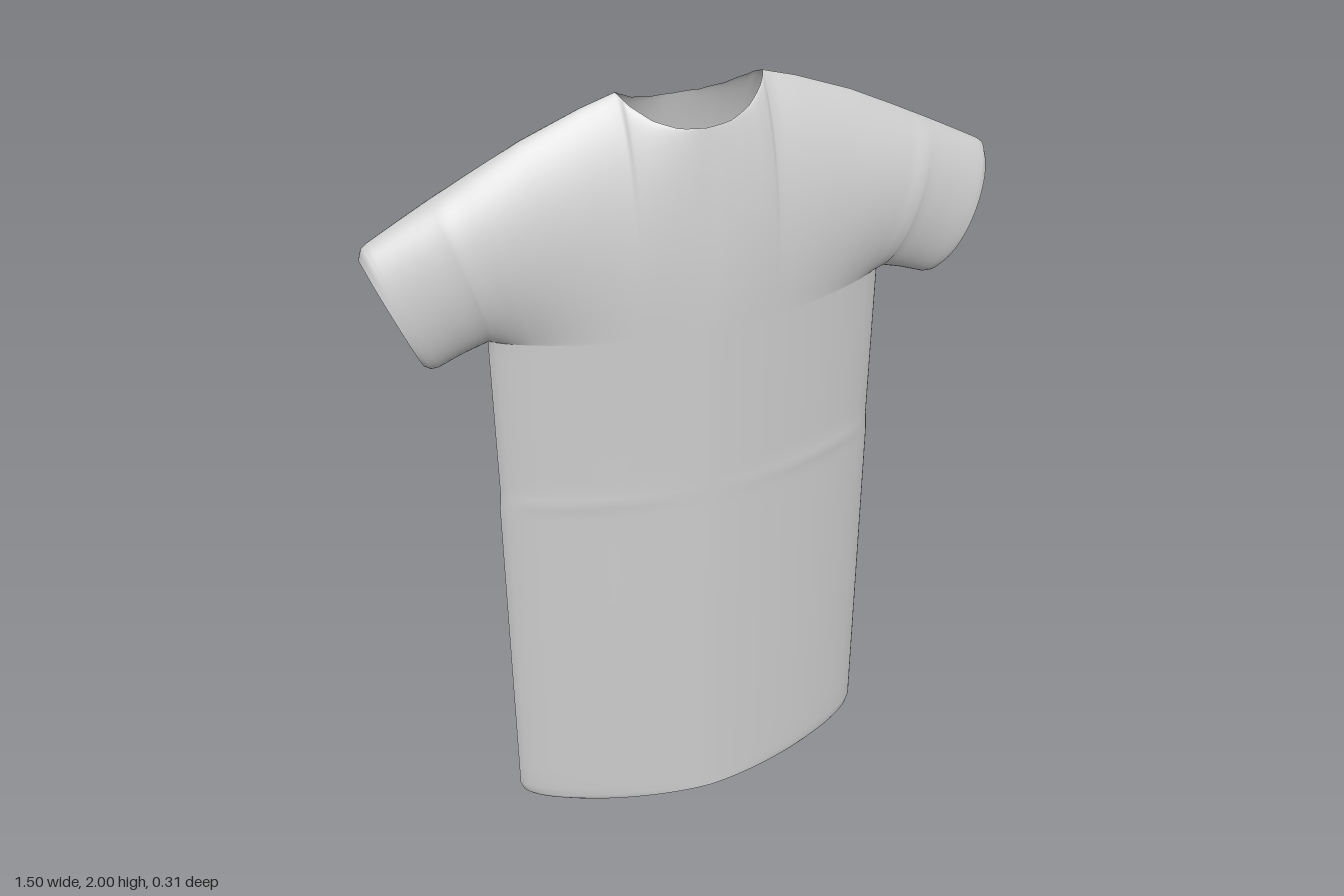
import * as THREE from 'three';
import { mergeGeometries, mergeVertices } from 'three/addons/utils/BufferGeometryUtils.js';

const ARMPIT_X = 0.487, ARMPIT_Y = 1.46, DEPTH = 0.155;

// Cross lines of the yoke and sleeve, centre to cuff:
// lower x, y, upper x, y, extra fullness, roundness at the lower end
const LINES = [
  [0, 1.46, 0, 1.933, 0, 1.7],
  [0.06, 1.46, 0.06, 1.937, 0.006, 1.7],
  [0.11, 1.46, 0.11, 1.953, 0.013, 1.7],
  [0.15, 1.46, 0.15, 1.98, 0.02, 1.7],
  [0.17, 1.46, 0.17, 2.0, 0.024, 1.7],
  [0.225, 1.46, 0.25, 1.976, 0.028, 1.6],
  [0.31, 1.46, 0.385, 1.924, 0.037, 1.4],
  [0.4, 1.46, 0.5, 1.868, 0.055, 1.1],
  [0.44, 1.46, 0.545, 1.845, 0.066, 0.9],
  [0.468, 1.46, 0.575, 1.83, 0.08, 0.75],
  [0.487, 1.46, 0.6, 1.817, 0.09, 0.6],
  [0.545, 1.443, 0.665, 1.783, 0.083, 0.58],
  [0.605, 1.42, 0.728, 1.749, 0.078, 0.55],
  [0.622, 1.419, 0.743, 1.737, 0.076, 0.55],
  [0.637, 1.43, 0.75, 1.712, 0.074, 0.55],
];

// Half width of the torso by height, with the rounded hem corners
const WIDTHS = [[0, 0.455], [0.008, 0.475], [0.02, 0.488], [0.05, 0.497], [0.2, 0.496],
  [0.98, 0.491], [1.03, 0.487], [1.46, 0.487]];
const HEIGHTS = [0, 0.008, 0.02, 0.05, 0.12, 0.3, 0.5, 0.7, 0.85, 0.94, 0.97, 0.985, 1,
  1.015, 1.03, 1.05, 1.08, 1.2, 1.33, 1.41, ARMPIT_Y];

function widthAt(y) {
  const i = Math.max(1, WIDTHS.findIndex(([h]) => h >= y));
  const [y0, w0] = WIDTHS[i - 1], [y1, w1] = WIDTHS[i];
  return w0 + (w1 - w0) * (y - y0) / (y1 - y0);
}

// Lens-shaped torso section: s is 0 at the centre and 1 at the side seam
const lens = s => DEPTH * Math.pow(Math.max(0, 1 - Math.pow(Math.min(1, s), 1.6)), 0.7);

// Subdivide the cross lines and mirror them to the other side
function makeColumns() {
  const half = [], sub = 3;
  for (let i = 0; i < LINES.length - 1; i++)
    for (let k = 0; k < sub; k++)
      half.push(LINES[i].map((v, n) => v + (LINES[i + 1][n] - v) * k / sub));
  half.push(LINES[LINES.length - 1]);
  const right = half.slice(1).reverse().map(c => ({ side: -1, c }));
  return [...right, ...half.map(c => ({ side: 1, c }))];
}

// Surface through a grid of points
function grid(cols, rows, point) {
  const pos = [], idx = [];
  for (let i = 0; i < cols; i++)
    for (let j = 0; j < rows; j++) pos.push(...point(i, j));
  for (let i = 0; i < cols - 1; i++)
    for (let j = 0; j < rows - 1; j++) {
      const a = i * rows + j, b = a + rows;
      idx.push(a, b, b + 1, a, b + 1, a + 1);
    }
  const g = new THREE.BufferGeometry();
  g.setAttribute('position', new THREE.Float32BufferAttribute(pos, 3));
  g.setIndex(idx);
  return g;
}

function panelGeometry() {
  const columns = makeColumns();

  // Torso below the armpits, with a faint fold at the waist
  const torsoCols = columns.filter(({ c }) => c[0] <= ARMPIT_X + 1e-6);
  const torso = grid(torsoCols.length, HEIGHTS.length, (i, j) => {
    const { side, c } = torsoCols[i], y = HEIGHTS[j], s = c[0] / ARMPIT_X;
    const x = j === HEIGHTS.length - 1 ? c[0] : s * widthAt(y);
    const fold = 0.005 * Math.exp(-(((y - 1.015) / 0.022) ** 2)) * s * Math.max(0, 1 - s ** 6);
    return [side * x, y, lens(s) + fold];
  });

  // Shoulders and sleeves
  const rows = 29;
  const yoke = grid(columns.length, rows, (i, j) => {
    const { side, c: [x0, y0, x1, y1, full, a] } = columns[i];
    const t = (1 - Math.cos(Math.PI * j / (rows - 1))) / 2, b = 0.6;
    const peak = a / (a + b);
    const bulge = full * Math.pow(t / peak, a) * Math.pow(Math.max(0, 1 - t) / (1 - peak), b);
    const neck = 0.1 * Math.pow(Math.max(0, 1 - (x1 / 0.17) ** 2), 0.7);
    const base = lens(x0 / ARMPIT_X);
    return [side * (x0 + (x1 - x0) * t), y0 + (y1 - y0) * t, base + (neck - base) * t * t + bulge];
  });

  const g = mergeVertices(mergeGeometries([torso, yoke]), 1e-5);
  g.computeVertexNormals();
  return g;
}

export function createModel() {
  const fabric = new THREE.MeshStandardMaterial({ color: 0xcccccc, side: THREE.DoubleSide });
  fabric.name = 'light grey fabric';
  const shirt = new THREE.Group();
  shirt.name = 'shirt';

  // The two panels meet at the side, shoulder and sleeve seams
  const geometry = panelGeometry();
  for (const [name, turn] of [['frontPanel', 0], ['backPanel', Math.PI]]) {
    const panel = new THREE.Mesh(geometry, fabric);
    panel.name = name;
    panel.rotation.y = turn;
    shirt.add(panel);
  }
  return shirt;
}
